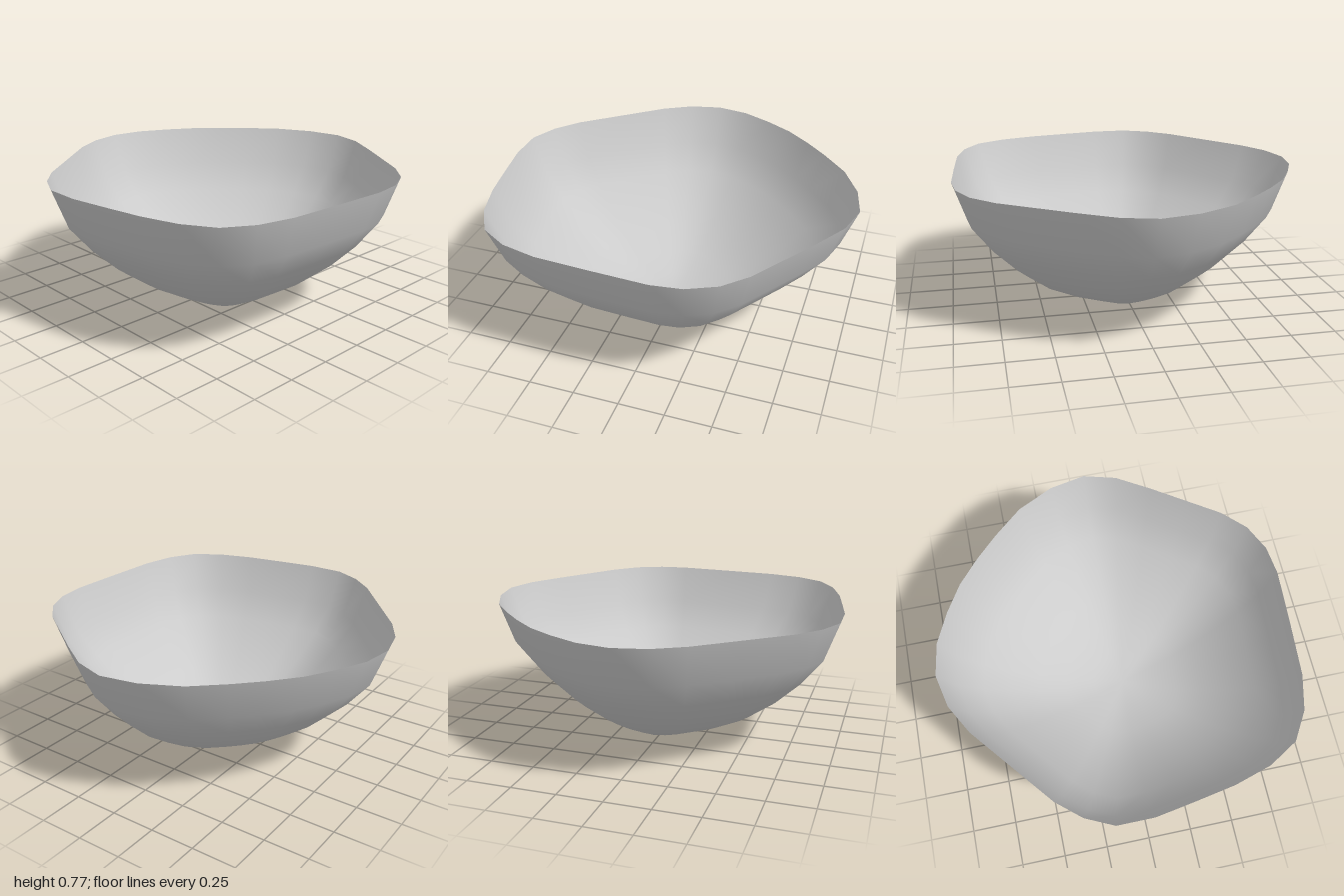
import * as THREE from 'three';

// Uneven, five-sided rim outline as [x, z], running from the back round by +x
const RIM = [
  [-0.04, -0.97], [0.14, -0.94], [0.31, -0.86], [0.46, -0.77], [0.60, -0.65],
  [0.72, -0.53], [0.86, -0.37], [0.96, -0.17], [1.00, 0.03], [0.95, 0.21],
  [0.84, 0.39], [0.72, 0.57], [0.60, 0.75], [0.48, 0.87], [0.33, 0.94],
  [0.17, 0.96], [-0.12, 0.945], [-0.43, 0.925], [-0.62, 0.88], [-0.77, 0.79],
  [-0.865, 0.63], [-0.925, 0.43], [-0.965, 0.21], [-1.00, 0.00], [-1.00, -0.20],
  [-0.93, -0.35], [-0.82, -0.48], [-0.60, -0.66], [-0.38, -0.84], [-0.22, -0.93],
];

// Bowl profile as [scale of the rim, height], from the rim down
const PROFILE = [
  [1, 0.775], [0.92, 0.555], [0.80, 0.405], [0.66, 0.27],
  [0.505, 0.155], [0.35, 0.075], [0.18, 0.025],
];
const CENTER = [-0.02, 0.05]; // lowest point of the bowl

function bowlGeometry() {
  const n = RIM.length;
  const positions = [];
  const index = [];
  // Rings: the rim shrunk towards the lowest point
  for (const [s, y] of PROFILE) {
    for (const [x, z] of RIM) {
      positions.push(CENTER[0] + (x - CENTER[0]) * s, y, CENTER[1] + (z - CENTER[1]) * s);
    }
  }
  const bottom = positions.length / 3;
  positions.push(CENTER[0], 0, CENTER[1]);

  // Walls between rings, then a fan closing the bottom
  for (let i = 0; i < n; i++) {
    const j = (i + 1) % n;
    for (let r = 0; r < PROFILE.length - 1; r++) {
      const a = r * n + i, b = r * n + j;
      index.push(a, b, a + n, b, b + n, a + n);
    }
    const last = (PROFILE.length - 1) * n;
    index.push(last + i, last + j, bottom);
  }

  const geometry = new THREE.BufferGeometry();
  geometry.setAttribute('position', new THREE.Float32BufferAttribute(positions, 3));
  geometry.setIndex(index);
  geometry.computeVertexNormals();
  return geometry;
}

export function createModel() {
  const group = new THREE.Group();
  group.name = 'bowl';
  // Thin open shell
  const shell = new THREE.Mesh(
    bowlGeometry(),
    new THREE.MeshStandardMaterial({ color: 0xcccccc, side: THREE.DoubleSide })
  );
  shell.name = 'bowlShell';
  group.add(shell);
  return group;
}
